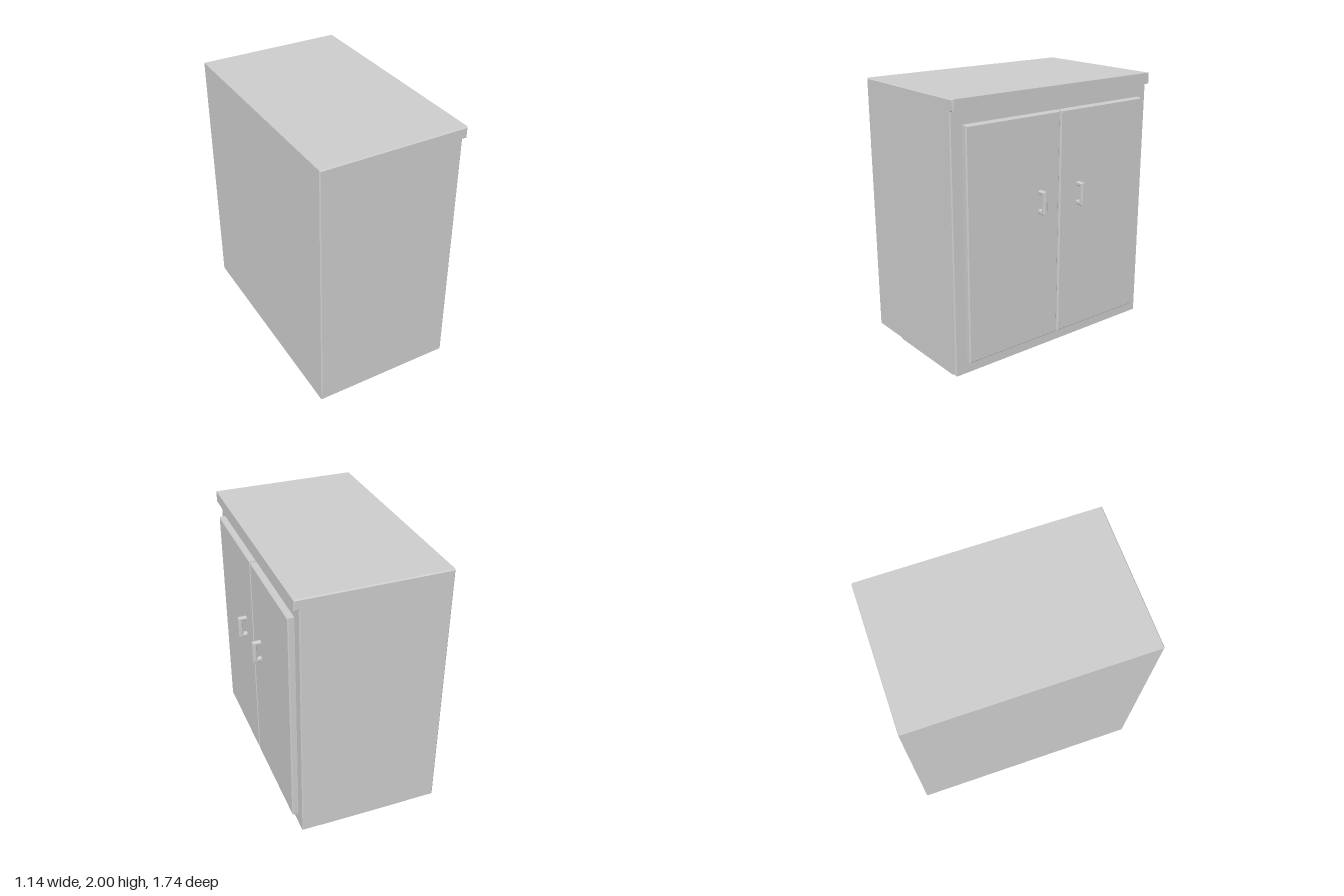
import * as THREE from 'three';

const material = new THREE.MeshStandardMaterial({ color: 0xcccccc });

// Extrudes a polygon by depth, centred on z = 0, with chamfered edges kept inside the outline
function chamferedExtrude(points, depth, bevel) {
  const shape = new THREE.Shape(points.map(([x, y]) => new THREE.Vector2(x, y)));
  const geometry = new THREE.ExtrudeGeometry(shape, {
    depth: depth - 2 * bevel,
    bevelEnabled: true,
    bevelSegments: 1,
    bevelSize: bevel,
    bevelThickness: bevel,
    bevelOffset: -bevel,
  });
  return geometry.translate(0, 0, bevel - depth / 2);
}

function addMesh(parent, name, geometry) {
  const mesh = new THREE.Mesh(geometry, material);
  mesh.name = name;
  parent.add(mesh);
  return mesh;
}

export function createModel() {
  const model = new THREE.Group();
  model.name = 'cabinet';

  // Carcass with the top's lip overhanging the doors
  addMesh(model, 'cabinetBody', chamferedExtrude([
    [-0.573, 0.09], [0.463, 0.09], [0.463, 1.92],
    [0.498, 1.92], [0.498, 2], [-0.573, 2],
  ], 1.736, 0.007));

  for (const side of [1, -1]) {
    const label = side > 0 ? 'front' : 'back';

    // Door panel, set slightly into the carcass
    const w = 0.776, h = 1.648;
    const panel = chamferedExtrude([
      [-w / 2, -h / 2], [w / 2, -h / 2], [w / 2, h / 2], [-w / 2, h / 2],
    ], 0.055, 0.008).rotateY(Math.PI / 2);
    addMesh(model, label + 'Door', panel).position.set(0.4805, 1.004, side * 0.393);

    // C-shaped pull handle
    const handle = chamferedExtrude([
      [0.495, 1.133], [0.572, 1.133], [0.572, 1.301], [0.495, 1.301],
      [0.495, 1.272], [0.54, 1.272], [0.54, 1.166], [0.495, 1.166],
    ], 0.032, 0.007);
    addMesh(model, label + 'Handle', handle).position.z = side * 0.174;

    // Runner foot
    addMesh(model, label + 'Foot', new THREE.BoxGeometry(0.692, 0.1, 0.084))
      .position.set(-0.055, 0.05, side * 0.742);
  }
  return model;
}
